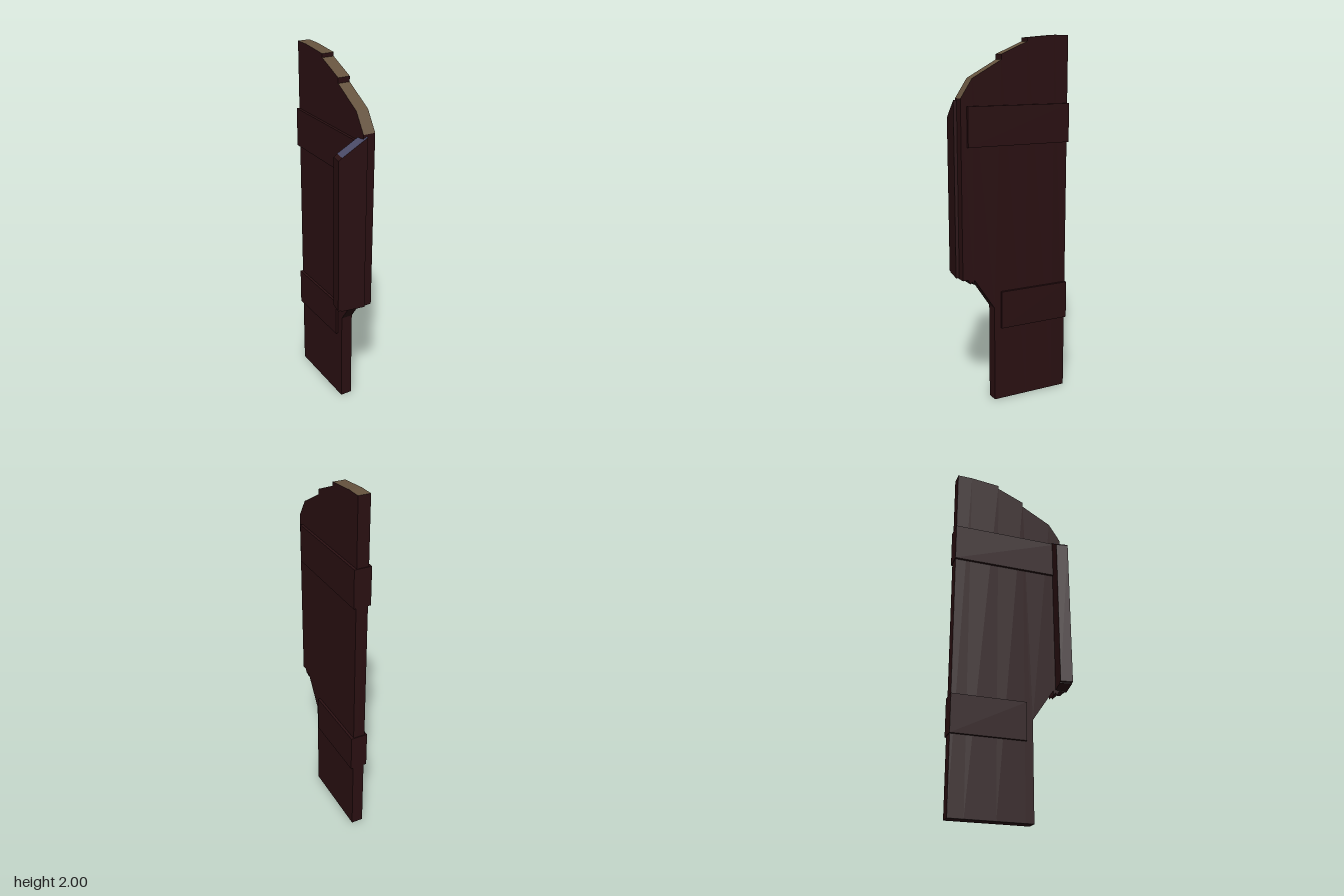
import * as THREE from 'three';

const darkWood = new THREE.MeshStandardMaterial({ name: 'darkWood', color: 0x2a1012 });
const rawWood = new THREE.MeshStandardMaterial({ name: 'rawWood', color: 0x66543f });
const blueGrey = new THREE.MeshStandardMaterial({ name: 'blueGrey', color: 0x4c4c6a });

// Board cut from an outline; upward faces take the top material
function board(name, outline, thickness, topMaterial) {
  const shape = new THREE.Shape(outline.map(([a, y]) => new THREE.Vector2(a, y)));
  const geo = new THREE.ExtrudeGeometry(shape, { depth: thickness, bevelEnabled: false });
  geo.translate(0, 0, -thickness / 2);
  geo.clearGroups();
  const normal = geo.attributes.normal;
  for (let i = 0; i < normal.count; i += 3) geo.addGroup(i, 3, normal.getY(i) > 0.3 ? 1 : 0);
  const mesh = new THREE.Mesh(geo, [darkWood, topMaterial]);
  mesh.name = name;
  return mesh;
}

// Cross band wrapped around the door planks
function band(name, z0, z1, y0, y1) {
  const mesh = new THREE.Mesh(new THREE.BoxGeometry(0.095, y1 - y0, z1 - z0), darkWood);
  mesh.name = name;
  mesh.position.set(0, (y0 + y1) / 2, (z0 + z1) / 2);
  return mesh;
}

export function createModel() {
  const model = new THREE.Group();
  model.name = 'brokenDoor';

  // Door leaf, standing slightly ajar
  const leaf = new THREE.Group();
  leaf.name = 'doorLeaf';
  leaf.rotation.y = THREE.MathUtils.degToRad(10);
  leaf.position.x = 0.006;
  model.add(leaf);

  // Plank outlines as [depth, height], from the hinge edge to the free edge
  const planks = [
    [[-0.319, 0], [-0.235, 0], [-0.235, 2], [-0.319, 2]],
    [[-0.235, 0], [-0.07, 0], [-0.07, 1.985], [-0.235, 2]],
    [[-0.07, 0], [0.083, 0], [0.083, 1.9], [-0.07, 1.965]],
    [[0.083, 0], [0.129, 0], [0.129, 0.54], [0.25, 0.72], [0.25, 1.78], [0.083, 1.872]],
    [[0.25, 0.69], [0.262, 0.71], [0.27, 0.695], [0.285, 0.72], [0.316, 0.72], [0.316, 1.68], [0.25, 1.78]],
  ];
  planks.forEach((outline, i) => {
    const plank = board('plank' + (i + 1), outline, 0.066, rawWood);
    plank.rotation.y = -Math.PI / 2;
    leaf.add(plank);
  });

  leaf.add(band('upperBand', -0.323, 0.282, 1.43, 1.64));
  leaf.add(band('lowerBand', -0.323, 0.09, 0.42, 0.63));

  // Loose board across the free edge, with a darker outer strip
  const jamb = new THREE.Group();
  jamb.name = 'looseBoard';
  jamb.position.z = 0.298;
  jamb.add(board('boardBody', [[-0.085, 0.725], [0.045, 0.725], [0.045, 1.67], [-0.085, 1.585]], 0.066, blueGrey));
  jamb.add(board('boardEdge', [[-0.103, 0.73], [-0.085, 0.73], [-0.085, 1.585], [-0.103, 1.57]], 0.066, darkWood));
  model.add(jamb);

  return model;
}
